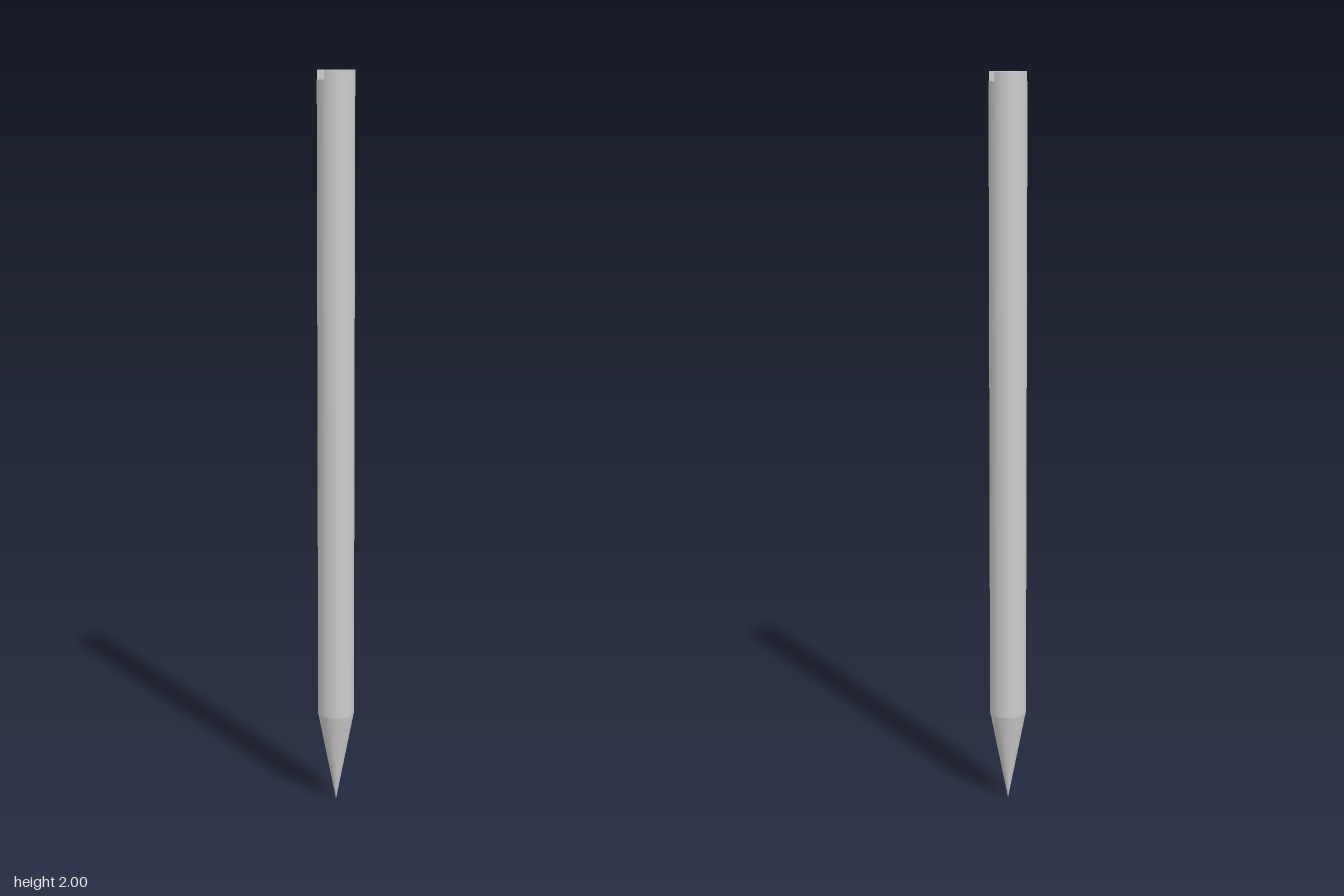
import * as THREE from 'three';
import { toCreasedNormals } from 'three/addons/utils/BufferGeometryUtils.js';

const RADIUS = 0.05, SIDES = 24;
const POINT_TOP = 0.257, SLOT_FLOOR = 1.975, TOP = 2;

export function createModel() {
  const group = new THREE.Group();
  const material = new THREE.MeshStandardMaterial({ color: 0xcccccc });
  const add = (name, geometry, y) => {
    const mesh = new THREE.Mesh(geometry, material);
    mesh.name = name;
    mesh.position.y = y;
    group.add(mesh);
    return mesh;
  };

  // Sharpened lower end
  add('point', new THREE.CylinderGeometry(RADIUS, 0, POINT_TOP, SIDES, 4, true), POINT_TOP / 2);

  // Straight round shaft, its upper cap forms the floor of the slot
  const length = SLOT_FLOOR - POINT_TOP;
  add('shaft', new THREE.CylinderGeometry(RADIUS, RADIUS, length, SIDES), POINT_TOP + length / 2);

  // Two circular-segment lugs left standing either side of the slot
  const segment = new THREE.Shape();
  segment.absarc(0, 0, RADIUS, Math.PI / 6, Math.PI * 5 / 6, false);
  segment.closePath();
  const lug = toCreasedNormals(
    new THREE.ExtrudeGeometry(segment, { depth: TOP - SLOT_FLOOR, bevelEnabled: false, curveSegments: 4 })
      .rotateX(-Math.PI / 2),
    Math.PI / 6
  );
  add('backLug', lug, SLOT_FLOOR);
  add('frontLug', lug, SLOT_FLOOR).rotation.y = Math.PI;

  return group;
}
